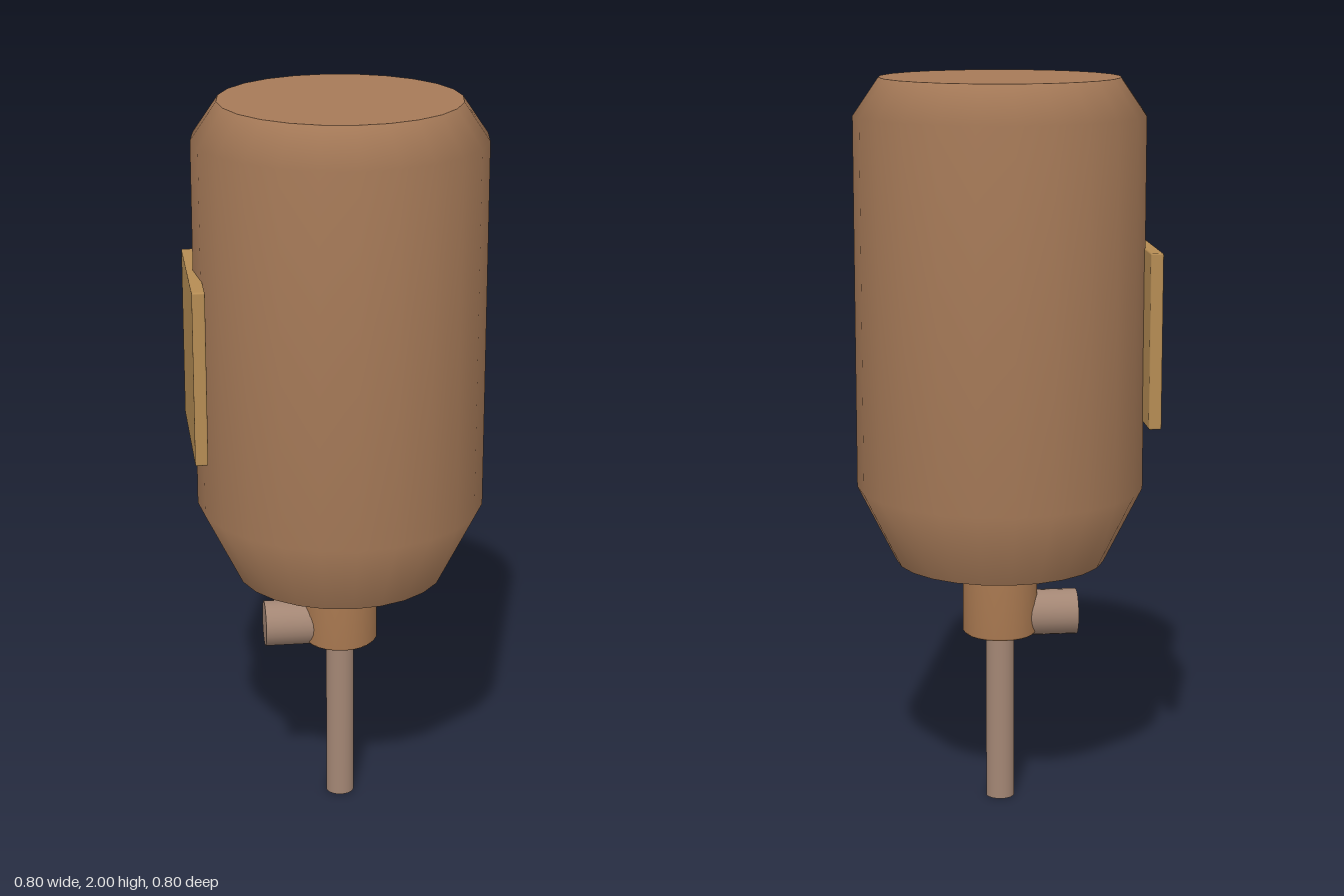
import * as THREE from 'three';
import { RoundedBoxGeometry } from 'three/addons/geometries/RoundedBoxGeometry.js';

const SIDES = 24;
const AXIS_X = 0.007; // the tank and its outlet share this axis

function material(name, color) {
  const m = new THREE.MeshStandardMaterial({ color });
  m.name = name;
  return m;
}

function addMesh(parent, name, geometry, mat, x = 0, y = 0, z = 0) {
  const mesh = new THREE.Mesh(geometry, mat);
  mesh.name = name;
  mesh.position.set(x, y, z);
  parent.add(mesh);
  return mesh;
}

// Turned side wall from [radius, height] pairs, with flat end caps
function addTurned(parent, name, profile, mat) {
  const group = new THREE.Group();
  group.name = name;
  group.position.x = AXIS_X;
  parent.add(group);
  const points = profile.map(([r, y]) => new THREE.Vector2(r, y));
  addMesh(group, name + 'Wall', new THREE.LatheGeometry(points, SIDES), mat);
  const [bottom, top] = [profile[0], profile[profile.length - 1]];
  const lower = new THREE.CircleGeometry(bottom[0], SIDES).rotateX(Math.PI / 2);
  const upper = new THREE.CircleGeometry(top[0], SIDES).rotateX(-Math.PI / 2);
  addMesh(group, name + 'Bottom', lower, mat, 0, bottom[1]);
  addMesh(group, name + 'Top', upper, mat, 0, top[1]);
  return group;
}

export function createModel() {
  const model = new THREE.Group();
  model.name = 'tank';

  const bodyBrown = material('bodyBrown', 0xa67a58);
  const neckBrown = material('neckBrown', 0xa87850);
  const pipeBrown = material('pipeBrown', 0xa38674);
  const plateTan = material('plateTan', 0xb58c54);

  // Large tank with tapered shoulders, slightly oval in plan
  const tank = addTurned(model, 'tankBody',
    [[0.291, 0.69], [0.398, 0.9], [0.398, 1.9], [0.328, 2]], bodyBrown);
  tank.scale.x = 0.98;

  // Collar under the tank with softened rims
  addTurned(model, 'neck',
    [[0.096, 0.478], [0.103, 0.485], [0.103, 0.683], [0.096, 0.69]], neckBrown);

  // Slim pipe down to the ground
  addMesh(model, 'downPipe', new THREE.CylinderGeometry(0.039, 0.039, 0.49, SIDES),
    pipeBrown, AXIS_X, 0.245);

  // Short outlet stub on the right side of the neck
  const stub = new THREE.CylinderGeometry(0.063, 0.063, 0.175, SIDES).rotateZ(Math.PI / 2);
  addMesh(model, 'sideOutlet', stub, pipeBrown, -0.1175, 0.53);

  // Flat plate fixed to the right side of the tank
  addMesh(model, 'sidePlate', new RoundedBoxGeometry(0.034, 0.47, 0.434, 2, 0.005),
    plateTan, -0.383, 1.32, -0.002);

  return model;
}
